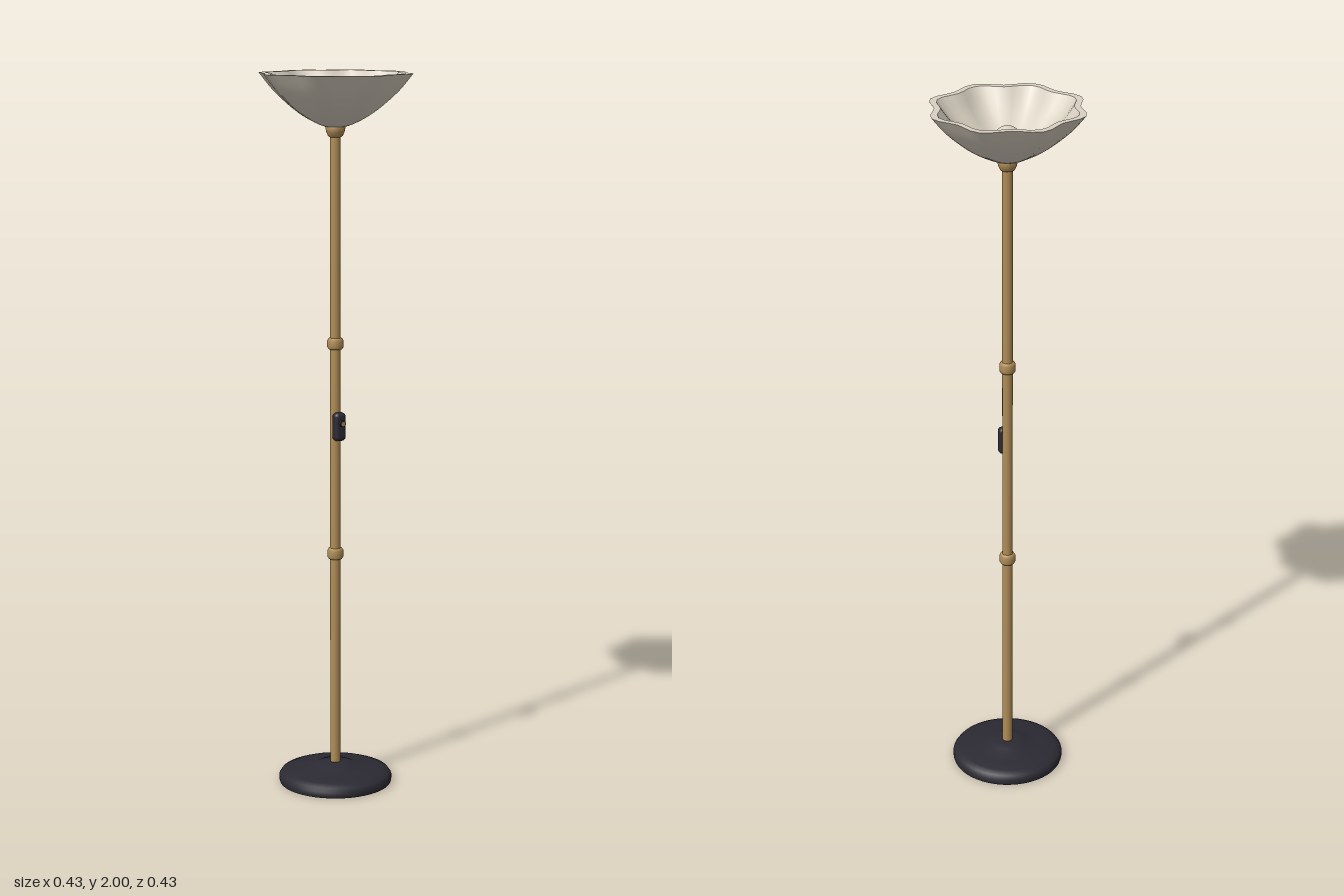
import * as THREE from 'three';
import { mergeVertices } from 'three/addons/utils/BufferGeometryUtils.js';
import { RoundedBoxGeometry } from 'three/addons/geometries/RoundedBoxGeometry.js';

const material = (name, color, side = THREE.FrontSide) => {
  const m = new THREE.MeshStandardMaterial({ color, side });
  m.name = name;
  return m;
};

const lathe = (points, segments = 32) =>
  new THREE.LatheGeometry(points.map(([r, y]) => new THREE.Vector2(r, y)), segments);

// Smooth curve through a few profile points
const smooth = (points, n) =>
  new THREE.SplineCurve(points.map(([r, y]) => new THREE.Vector2(r, y)))
    .getPoints(n).map((p) => [Math.max(p.x, 0), p.y]);

// Lathe whose radius swells into eight lobes, growing towards the rim
function scalloped(points) {
  const g = lathe(points, 48);
  const pos = g.attributes.position;
  for (let i = 0; i < pos.count; i++) {
    const x = pos.getX(i), z = pos.getZ(i);
    const grow = Math.min(1, Math.hypot(x, z) / 0.17);
    const k = 1 + 0.06 * grow * Math.cos(8 * Math.atan2(x, z));
    pos.setX(i, x * k);
    pos.setZ(i, z * k);
  }
  g.deleteAttribute('normal');
  g.deleteAttribute('uv');
  const merged = mergeVertices(g, 1e-5);
  merged.computeVertexNormals();
  return merged;
}

export function createModel() {
  const group = new THREE.Group();
  group.name = 'floorLamp';
  const brass = material('brass', 0xb08d57);
  const dark = material('darkMetal', 0x2b2a33);
  const glass = material('creamGlass', 0xd9d1c2, THREE.DoubleSide);

  const add = (name, geometry, mat, x = 0, y = 0, z = 0) => {
    const mesh = new THREE.Mesh(geometry, mat);
    mesh.name = name;
    mesh.position.set(x, y, z);
    group.add(mesh);
    return mesh;
  };

  // Domed base with a raised centre
  add('baseUnderside', new THREE.CircleGeometry(0.158, 48).rotateX(Math.PI / 2), dark);
  add('base', lathe([[0.158, 0], [0.16, 0.006], [0.16, 0.018], [0.153, 0.028],
    [0.135, 0.035], [0.1, 0.04], [0.065, 0.045], [0.05, 0.052], [0.03, 0.056], [0, 0.057]], 48), dark);

  // Pole with two joint collars
  add('pole', new THREE.CylinderGeometry(0.0145, 0.0145, 1.8, 24), brass, 0, 0.945, 0);
  const collar = [[0.014, -0.016], [0.019, -0.015], [0.0225, -0.009], [0.0225, 0.009],
    [0.019, 0.015], [0.014, 0.016]];
  for (const [name, y] of [['lowerCollar', 0.667], ['upperCollar', 1.262]]) {
    add(name, lathe(collar, 24), brass, 0, y, 0);
  }

  // Switch on the front of the pole
  add('switchHousing', new RoundedBoxGeometry(0.036, 0.08, 0.028, 4, 0.012), dark, 0, 1.032, 0.02);
  add('switchKnob', new THREE.CylinderGeometry(0.009, 0.009, 0.012, 16).rotateX(Math.PI / 2),
    dark, 0, 1.043, 0.036);
  add('switchKnobFace', new THREE.CylinderGeometry(0.006, 0.006, 0.002, 16).rotateX(Math.PI / 2),
    brass, 0, 1.043, 0.0425);

  // Cup under the shade and socket inside it
  add('shadeCup', lathe([[0.0145, 1.828], [0.02, 1.831], [0.025, 1.843], [0.028, 1.858],
    [0.02, 1.864], [0, 1.864]], 24), brass);
  add('bulbSocket', new THREE.CylinderGeometry(0.018, 0.018, 0.03, 24), brass, 0, 1.872, 0);

  // Scalloped bowl shade: outer wall, flat rim, inner wall
  add('shadeOuter', scalloped(smooth([[0, 1.854], [0.04, 1.86], [0.1, 1.893],
    [0.16, 1.947], [0.2025, 2]], 18)), glass);
  add('shadeRim', scalloped([[0.2025, 2], [0.184, 2]]), glass);
  add('shadeInner', scalloped(smooth([[0.184, 2], [0.146, 1.953], [0.09, 1.903],
    [0.036, 1.873], [0, 1.867]], 18)), glass);

  // Round bulb
  add('bulb', new THREE.SphereGeometry(0.037, 32, 20), glass, 0, 1.913, 0);

  return group;
}
